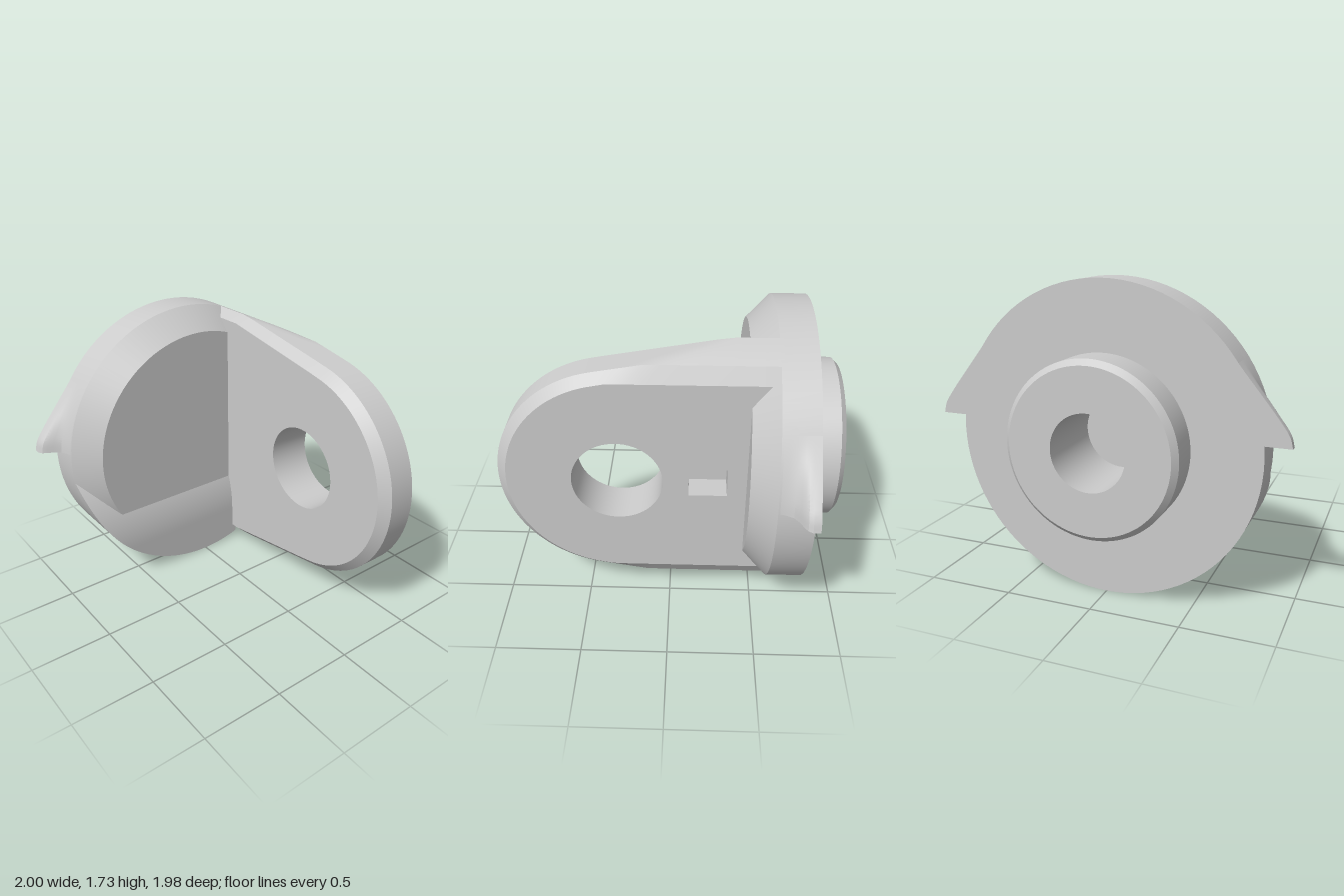
import * as THREE from 'three';
import { toCreasedNormals } from 'three/addons/utils/BufferGeometryUtils.js';

const CY = 0.865, R = 0.863;
const material = new THREE.MeshStandardMaterial({ color: 0xcccccc });
const rim = (y) => Math.sqrt(Math.max(0, R * R - (y - CY) ** 2));

function part(name, geometry) {
  const mesh = new THREE.Mesh(toCreasedNormals(geometry, 0.4), material);
  mesh.name = name;
  return mesh;
}

// Skin a series of equal-length rows of [x, y, z]
function loft(rows) {
  const n = rows[0].length, index = [];
  for (let i = 0; i < rows.length - 1; i++) {
    for (let j = 0; j < n - 1; j++) {
      const a = i * n + j, d = a + n;
      index.push(a, a + 1, d + 1, a, d + 1, d);
    }
  }
  const g = new THREE.BufferGeometry();
  g.setAttribute('position', new THREE.Float32BufferAttribute(rows.flat(2), 3));
  g.setIndex(index);
  return g;
}

// Round base disc with chamfered front, rear boss and blind bore
function makeDisc() {
  const profile = [
    [0, -0.55], [0.21, -0.55], [0.21, -0.99], [0.452, -0.99], [0.483, -0.96],
    [0.483, -0.785], [R, -0.785], [R, -0.58], [0.722, -0.44], [0, -0.44],
  ].map(([r, z]) => new THREE.Vector2(r, z));
  const g = new THREE.LatheGeometry(profile, 96);
  g.rotateX(Math.PI / 2);
  g.translate(0, CY, 0);
  return part('baseDisc', g);
}

// Gently arched thickening on the lower front of the disc
function makeLowerPad() {
  const ramp = (y) => -0.4 - (y < 0.25 ? 0 : 0.76 - Math.sqrt(0.76 ** 2 - (y - 0.25) ** 2));
  const rows = [];
  const a0 = -Math.PI / 2, a1 = Math.asin((0.745 - CY) / R);
  for (let i = 0; i <= 40; i++) {
    const y = CY + R * Math.sin(a0 + (a1 - a0) * i / 40);
    const x = rim(y), right = Math.min(x, 0.27), z = ramp(y);
    rows.push([[-x, y, -0.6], [-x, y, z], [right, y, z], [right, y, -0.6]]);
  }
  return part('lowerPad', loft(rows));
}

// Flared side stop: tangent to the rim above, flat underneath
function makeSideStop() {
  const outline = new THREE.CatmullRomCurve3([
    [1, 0.94], [0.983, 1.0], [0.932, 1.075], [0.833, 1.2], [0.752, 1.3], [0.69, 1.38],
  ].map(([x, y]) => new THREE.Vector3(x, y, 0)));
  const flare = [[0, -0.59], [0.05, -0.62], [0.2, -0.66], [0.48, -0.69], [0.72, -0.705],
    [0.9, -0.722], [1, -0.745], [1, -0.785]];
  const rows = [];
  for (let i = 0; i <= 24; i++) {
    const { x, y } = outline.getPoint(i / 24);
    const inner = rim(y);
    const row = flare.map(([f, z]) => [inner + (x - inner) * f, y, z]);
    row.push([inner - 0.02, y, -0.785]);
    rows.push(row);
  }
  rows.unshift(rows[0].map(() => [0.84, 0.94, -0.7]));
  return part('sideStop', loft(rows));
}

// Outline of the lug at depth x, shrunk by inset, as [z, half height] mirrored
function lugOutline(x, inset) {
  const limit = inset > 0 && x > 0.4 ? 0.64 : Math.sqrt(R * R - x * x);
  const r = 0.69 - inset, top = [];
  const zs = [-0.6, -0.5, -0.35, -0.25, -0.15, -0.05, 0.05, 0.15, 0.25, 0.35];
  for (const z of zs) {
    const t = Math.min(1, Math.max(0, (0.42 - z) / 0.77));
    top.push([z, Math.min(limit, 0.68 - inset + t * 0.135)]);
  }
  for (let i = 0; i <= 32; i++) {
    const a = (80 * Math.PI / 180) * (1 - i / 32);
    top.push([0.3 + r * Math.cos(a), Math.min(limit, r * Math.sin(a))]);
  }
  const bottom = top.slice(0, -1).reverse().map(([z, h]) => [z, -h]);
  return [...top, ...bottom];
}

// Flat side of the lug, facing +x (dir 1) or -x (dir -1)
function lugSide(x, inset, dir, withPocket) {
  const pt = ([z, h]) => new THREE.Vector2(-dir * z, CY + h);
  const shape = new THREE.Shape(lugOutline(x, inset).map(pt));
  const hole = new THREE.Path();
  hole.absarc(-dir * 0.3, CY, 0.262, 0, Math.PI * 2);
  shape.holes.push(hole);
  if (withPocket) {
    const corners = [[-0.11, -0.09], [-0.33, -0.09], [-0.33, 0.095], [-0.11, 0.095]];
    shape.holes.push(new THREE.Path([...corners, corners[0]].map(pt)));
  }
  const g = new THREE.ShapeGeometry(shape, 32);
  g.rotateY(dir * Math.PI / 2);
  g.translate(x, 0, 0);
  return g;
}

function makeLug() {
  const lug = new THREE.Group();
  lug.name = 'lug';
  // Bevelled edge, trimmed to the disc radius
  const stations = [[0.24, 0.055], [0.295, 0], [0.34, 0], [0.38, 0], [0.42, 0], [0.46, 0], [0.513, 0.055]];
  const rows = stations.map(([x, d]) => lugOutline(x, d).map(([z, h]) => [x, CY + h, z]));
  lug.add(part('lugEdge', loft(rows)));
  lug.add(part('lugOuterSide', lugSide(0.513, 0.055, 1, true)));
  lug.add(part('lugInnerSide', lugSide(0.24, 0.055, -1, false)));
  // Through hole
  const ring = (x) => Array.from({ length: 65 }, (_, i) => {
    const a = -i / 64 * Math.PI * 2;
    return [x, CY + 0.262 * Math.sin(a), 0.3 + 0.262 * Math.cos(a)];
  });
  lug.add(part('lugHole', loft([ring(0.513), ring(0.24)])));
  // Square pocket
  const square = (x) => [[-0.11, -0.09], [-0.33, -0.09], [-0.33, 0.095], [-0.11, 0.095], [-0.11, -0.09]]
    .map(([z, h]) => [x, CY + h, z]);
  const floor = square(0.36).map(() => [0.36, CY, -0.22]);
  lug.add(part('lugPocket', loft([square(0.513), square(0.36), floor])));
  return lug;
}

export function createModel() {
  const model = new THREE.Group();
  model.name = 'clevisMount';
  model.add(makeDisc(), makeLowerPad(), makeLug());
  // Mirrored pair of side stops
  for (const side of [1, -1]) {
    const stop = makeSideStop();
    stop.name = side > 0 ? 'leftSideStop' : 'rightSideStop';
    stop.scale.x = side;
    model.add(stop);
  }
  return model;
}
